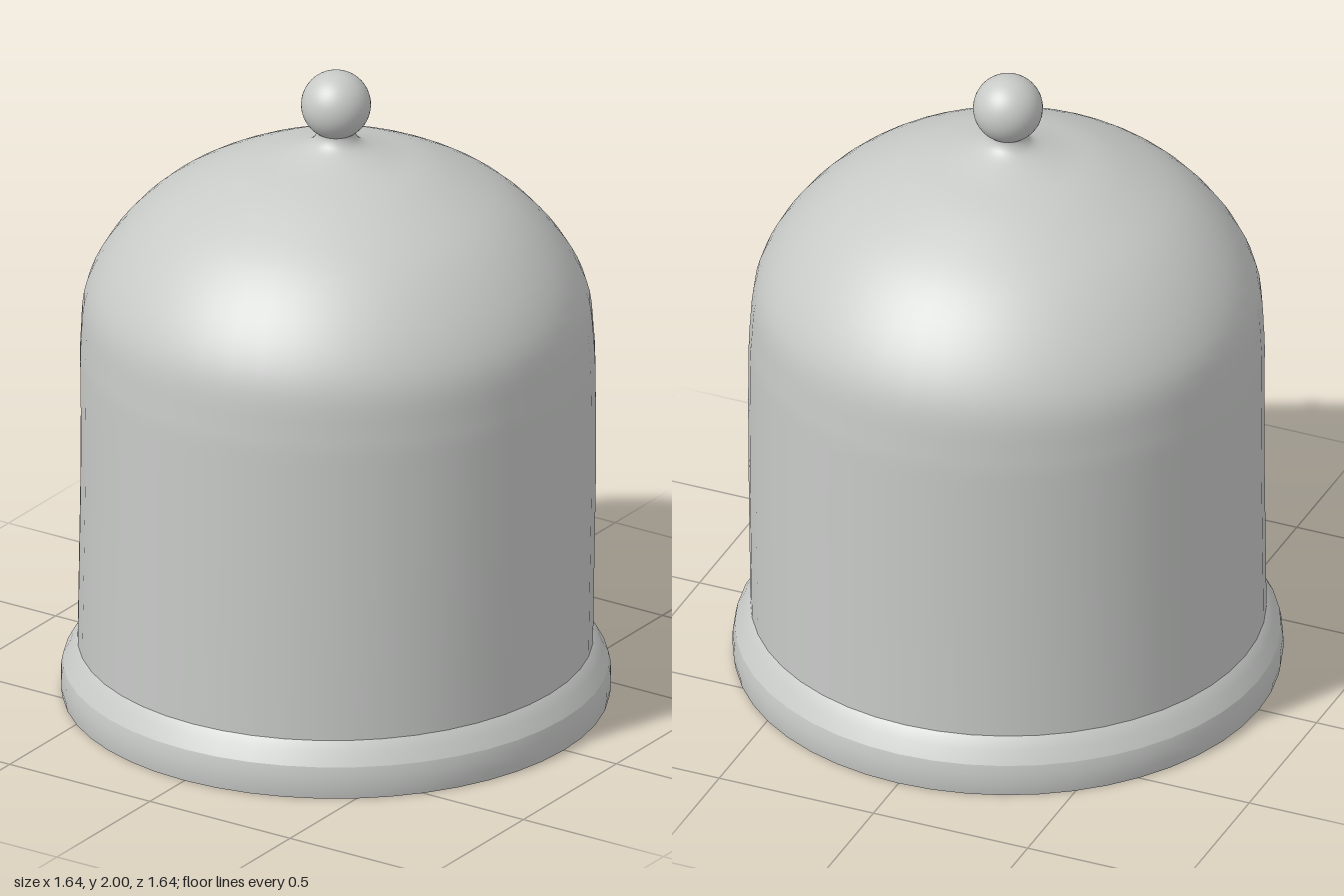
import * as THREE from 'three';

const SIDES = 48;
const vec = (list) => list.map(([r, y]) => new THREE.Vector2(r, y));

export function createModel() {
  const group = new THREE.Group();
  const glass = new THREE.MeshStandardMaterial({ color: 0xc8cac8 });
  glass.name = 'pale grey';

  const add = (name, geometry) => {
    const mesh = new THREE.Mesh(geometry, glass);
    mesh.name = name;
    group.add(mesh);
    return mesh;
  };

  // The bell leans very slightly: shift z along its height
  const lean = (geometry) => {
    const p = geometry.attributes.position;
    for (let i = 0; i < p.count; i++) {
      const y = p.getY(i);
      const s = y < 0.8 ? 0.009 - 0.024 * (y / 0.8) : -0.015 * Math.max(0, (1.5 - y) / 0.7);
      p.setZ(i, p.getZ(i) + s * Math.min(1, y / 0.17));
    }
    return geometry;
  };

  // Outer wall, dome and flared neck
  const dome = new THREE.SplineCurve(vec([
    [0.767, 1.05], [0.764, 1.14], [0.745, 1.3], [0.66, 1.45], [0.52, 1.585],
    [0.325, 1.69], [0.165, 1.74], [0.085, 1.77], [0.059, 1.8], [0.06, 1.83],
  ])).getPoints(40);
  add('bell', lean(new THREE.LatheGeometry(
    [...vec([[0.767, 0.16], [0.767, 0.4], [0.767, 0.7], [0.767, 0.9]]), ...dome], SIDES)));

  // Hollow inside, listed from crown to mouth so it faces inward
  const hollow = new THREE.SplineCurve(vec([
    [0, 1.7], [0.15, 1.69], [0.31, 1.64], [0.49, 1.54], [0.62, 1.41],
    [0.695, 1.28], [0.715, 1.12], [0.717, 1.0],
  ])).getPoints(28);
  add('innerWall', new THREE.LatheGeometry([...hollow, ...vec([[0.717, 0.5], [0.717, 0]])], SIDES));

  // Foot rim: flat underside, upright band and sloping shoulder
  const rimPart = (name, points) => add(name, new THREE.LatheGeometry(vec(points), SIDES));
  rimPart('rimUnderside', [[0.717, 0], [0.814, 0]]);
  rimPart('rimBand', [[0.814, 0], [0.819, 0.03], [0.818, 0.07], [0.812, 0.1]]);
  rimPart('rimShoulder', [[0.812, 0.1], [0.79, 0.14], [0.768, 0.172], [0.755, 0.18]]);

  // Ball knob
  add('knob', new THREE.SphereGeometry(0.104, 40, 28)).position.y = 1.896;

  return group;
}
